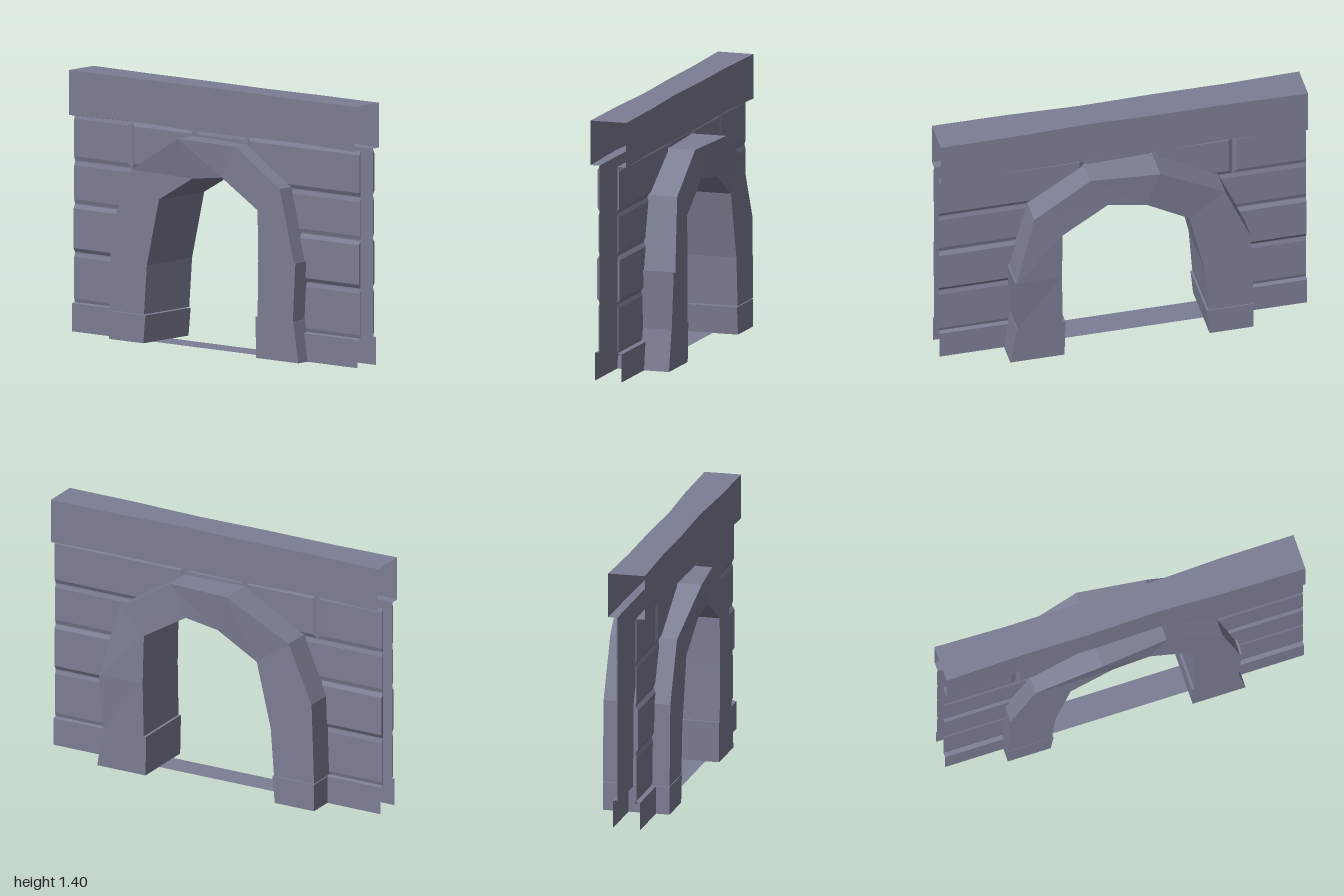
import * as THREE from 'three';

const CX = -0.03; // mid-plane of the wall

// Joins matching rings of [x, y, z] points into a faceted skin
function loft(rings, { closed = true, capStart = false, capEnd = false } = {}) {
  const pos = [];
  const quad = (a, b, c, d) => [a, b, c, a, c, d].forEach(p => pos.push(...p));
  for (let r = 0; r < rings.length - 1; r++) {
    const a = rings[r], b = rings[r + 1], n = a.length;
    for (let i = 0; i < (closed ? n : n - 1); i++) {
      const j = (i + 1) % n;
      quad(a[i], a[j], b[j], b[i]);
    }
  }
  if (capStart) quad(...[...rings[0]].reverse());
  if (capEnd) quad(...rings[rings.length - 1]);
  const g = new THREE.BufferGeometry();
  g.setAttribute('position', new THREE.Float32BufferAttribute(pos, 3));
  g.computeVertexNormals();
  return g;
}

// Reflects a geometry across the wall's mid-plane, keeping faces outward
function mirrored(src) {
  const g = src.index ? src.toNonIndexed() : src.clone();
  const p = g.attributes.position;
  for (let i = 0; i < p.count; i += 3) {
    const t = [0, 2, 1].map(k => [2 * CX - p.getX(i + k), p.getY(i + k), p.getZ(i + k)]);
    t.forEach((v, k) => p.setXYZ(i + k, ...v));
  }
  g.computeVertexNormals();
  return g;
}

export function createModel() {
  const model = new THREE.Group();
  model.name = 'archedWall';
  const stone = new THREE.MeshStandardMaterial({ color: 0x7c7e94, side: THREE.DoubleSide, flatShading: true });
  stone.name = 'slate grey stone';

  const add = (name, geometry) => {
    const m = new THREE.Mesh(geometry, stone);
    m.name = name;
    model.add(m);
  };
  const addBothFaces = (name, geometry) => {
    add(name + 'Left', geometry);
    add(name + 'Right', mirrored(geometry));
  };

  // Capping beam: an open-ended channel that narrows along the middle
  const beam = [[-1, 0.1], [-0.6, 0.09], [-0.2, 0.092], [0.2, 0.084], [0.6, 0.098], [1, 0.1]];
  add('topBeam', loft(beam.map(([z, h]) => {
    const y = Math.abs(z) === 0.6 ? 1.168 : 1.16;
    return [[0.05, 1.16], [h, y], [h, 1.4], [-h, 1.4], [-h, y], [-0.05, 1.16]]
      .map(([x, yy]) => [CX + x, yy, z]);
  }), { closed: false }));

  // Wall face with the arch opening, its edge hidden behind the arch stones
  const outline = [[1, 0.14], [0.5, 0.14], [0.48, 0.6], [0.43, 0.85], [0.17, 1.02], [-0.13, 1.02],
    [-0.42, 0.85], [-0.53, 0.55], [-0.55, 0.14], [-1, 0.14], [-1, 1.16], [1, 1.16]];
  const face = new THREE.ShapeGeometry(new THREE.Shape(outline.map(([z, y]) => new THREE.Vector2(-z, y))));
  face.rotateY(Math.PI / 2).translate(CX + 0.05, 0, 0);
  addBothFaces('wallFace', face);

  // Bevelled stone panels: [z high, z low, y low, y high, projection]
  const panels = [
    [1, 0.5, 0.15, 0.42, 0.056], [1, 0.5, 0.42, 0.68, 0.063],
    [1, 0.46, 0.68, 0.91, 0.056], [1, 0.21, 0.91, 1.16, 0.06],
    [0.21, -0.16, 1.02, 1.16, 0.056], [-0.16, -0.6, 0.91, 1.16, 0.06],
    [-0.6, -1, 0.91, 1.16, 0.056], [-0.46, -1, 0.68, 0.91, 0.056],
    [-0.54, -1, 0.42, 0.68, 0.063], [-0.56, -1, 0.15, 0.42, 0.056],
  ];
  for (const [z1, z0, y0, y1, h] of panels) {
    const rect = (x, b) => {
      const zh = z1 === 1 ? 1 : z1 - b, zl = z0 === -1 ? -1 : z0 + b;
      return [[x, y0 + b, zh], [x, y0 + b, zl], [x, y1 - b, zl], [x, y1 - b, zh]];
    };
    addBothFaces('wallPanel', loft([rect(CX + 0.05, 0.003), rect(CX + h, 0.024)], { capEnd: true }));
  }

  // Plinth strips with a small ledge, on each side of the opening
  for (const [za, zb] of [[-1, -0.56], [0.5, 1]]) {
    const ring = z => [[CX + 0.075, 0, z], [CX + 0.075, 0.15, z], [CX + 0.05, 0.155, z]];
    addBothFaces('plinth', loft([ring(za), ring(zb)], { closed: false }));
  }

  // Threshold strip on the ground between the feet
  const sill = z => [[CX + 0.075, 0.001, z], [CX - 0.075, 0.001, z]];
  add('threshold', loft([sill(-0.63), sill(0.63)], { closed: false }));

  // Arch stones; a section is [outer z, outer y, inner z, inner y, left x, right x]
  const S = {
    footA: [0.65, 0, 0.355, 0, 0.185, -0.18],
    footATop: [0.615, 0.22, 0.35, 0.22, 0.187, -0.18],
    legA: [0.612, 0.22, 0.365, 0.22, 0.187, -0.18],
    legATop: [0.63, 0.535, 0.37, 0.52, 0.205, -0.18],
    shoulderA: [0.62, 0.53, 0.37, 0.52, 0.21, -0.18],
    springA: [0.52, 0.92, 0.365, 0.79, 0.185, -0.18],
    keyA: [0.21, 1.115, 0.115, 0.94, 0.175, -0.18],
    keyB: [-0.16, 1.125, -0.09, 0.915, 0.218, -0.22],
    springB: [-0.52, 0.92, -0.325, 0.78, 0.185, -0.18],
    shoulderB: [-0.66, 0.6, -0.41, 0.42, 0.185, -0.18],
    legB: [-0.675, 0.155, -0.43, 0.155, 0.185, -0.18],
    footBTop: [-0.675, 0.15, -0.42, 0.15, 0.185, -0.18],
    footB: [-0.675, 0, -0.435, 0, 0.185, -0.18],
  };
  const section = ([zo, yo, zi, yi, xl, xr]) => {
    const il = Math.min(xl, 0.19), ir = Math.max(xr, -0.18);
    return [[xr, yo, zo], [xl, yo, zo], [il, yi, zi], [ir, yi, zi]];
  };
  const stones = [
    ['frontFoot', 'footA', 'footATop'], ['frontLeg', 'legA', 'legATop'],
    ['frontShoulder', 'shoulderA', 'springA'], ['frontHaunch', 'springA', 'keyA'],
    ['keystone', 'keyA', 'keyB'], ['backHaunch', 'keyB', 'springB'],
    ['backShoulder', 'springB', 'shoulderB'], ['backLeg', 'shoulderB', 'legB'],
    ['backFoot', 'footBTop', 'footB'],
  ];
  for (const [name, a, b] of stones) {
    // The feet are open underneath
    add(name + 'Stone', loft([section(S[a]), section(S[b])], { capStart: a !== 'footA', capEnd: b !== 'footB' }));
  }

  return model;
}
